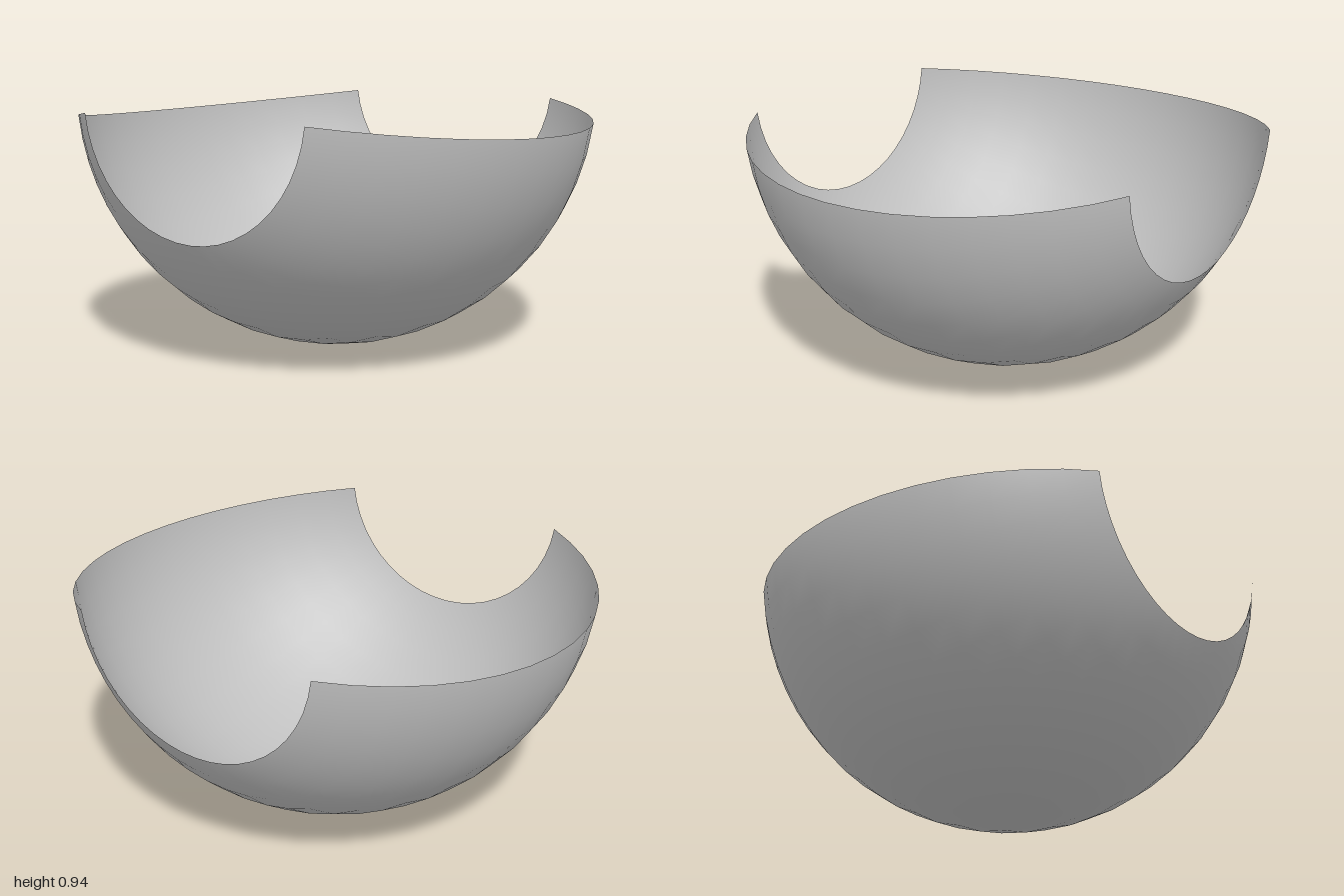
import * as THREE from 'three';

export function createModel() {
  const model = new THREE.Group();
  model.name = 'curvedShell';

  const grey = new THREE.MeshStandardMaterial({ color: 0xc0c0c0, side: THREE.DoubleSide });
  grey.name = 'grey';

  // Open sphere band around the z axis: 165 degrees of arc, both poles cut off at 30 degrees
  const deg = Math.PI / 180;
  const radius = 1 / Math.cos(7.5 * deg); // makes the rim exactly 2 wide
  const geometry = new THREE.SphereGeometry(radius, 22, 16, 7.5 * deg, 165 * deg, 30 * deg, 120 * deg);
  geometry.rotateX(Math.PI / 2); // pole axis onto z, arc hanging downwards
  geometry.translate(0, radius, 0); // lowest point on the ground

  const shell = new THREE.Mesh(geometry, grey);
  shell.name = 'shell';
  model.add(shell);
  return model;
}
